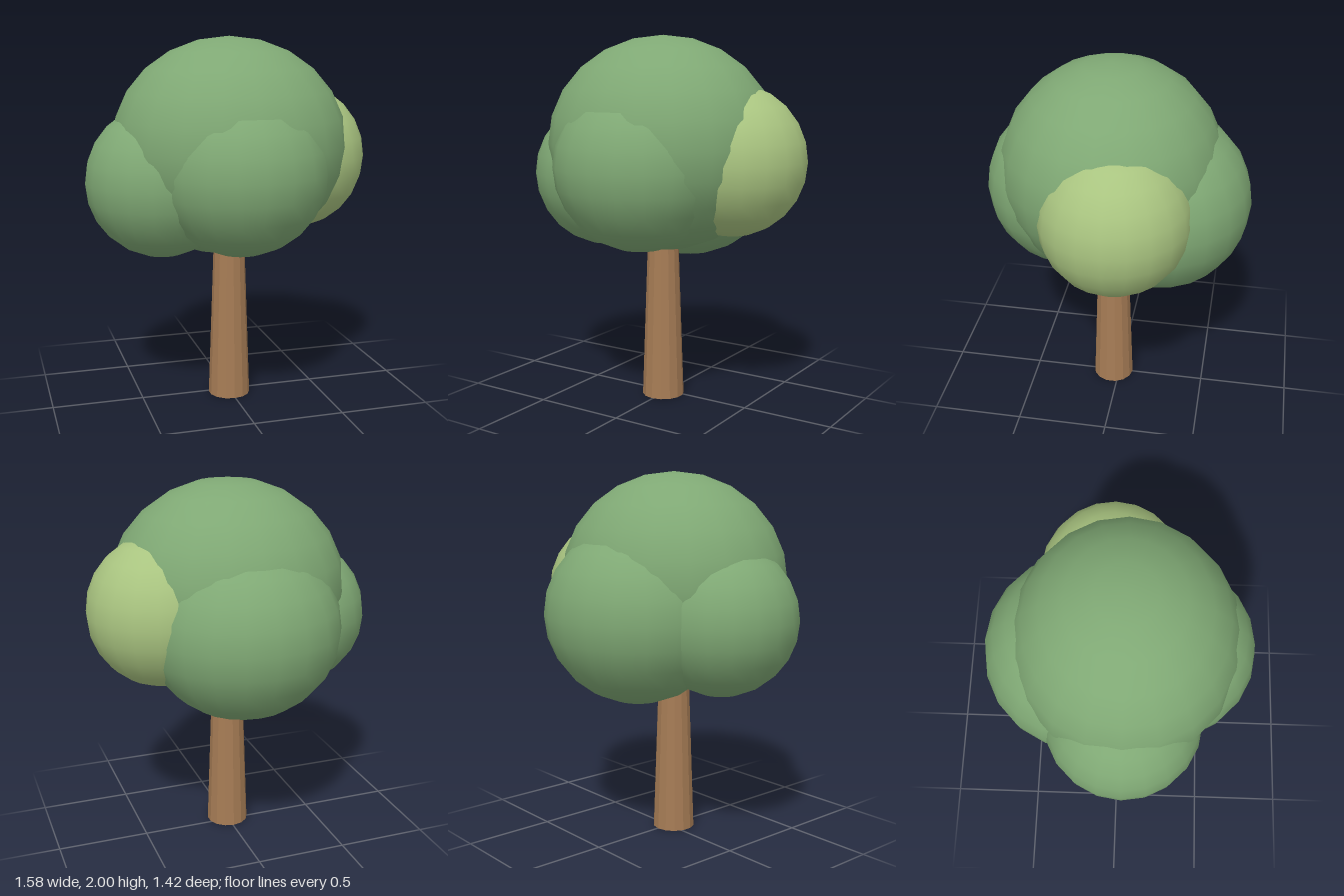
import * as THREE from 'three';

const material = (color, flatShading = false) => new THREE.MeshStandardMaterial({ color, flatShading });

export function createModel() {
  const tree = new THREE.Group();
  tree.name = 'tree';

  const bark = material(0xa67c55, true);
  const leaf = material(0x7fa874);
  const sunlitLeaf = material(0xa9c480);

  // Tapered trunk, its top hidden inside the foliage
  const trunk = new THREE.Mesh(new THREE.CylinderGeometry(0.083, 0.116, 0.95, 14), bark);
  trunk.name = 'trunk';
  trunk.position.set(-0.005, 0.475, 0.035);
  tree.add(trunk);

  // Overlapping foliage balls: name, centre, radii, material
  const clumps = [
    ['crown', [-0.005, 1.42, 0.035], [0.64, 0.58, 0.595], leaf],
    ['frontFoliage', [-0.005, 1.31, 0.26], [0.465, 0.45, 0.45], leaf],
    ['backFoliage', [-0.005, 1.25, -0.225], [0.52, 0.48, 0.485], leaf],
    ['rightFoliage', [-0.38, 1.24, 0.035], [0.41, 0.41, 0.41], leaf],
    ['leftFoliage', [0.385, 1.34, -0.04], [0.4, 0.405, 0.395], sunlitLeaf],
  ];
  const ball = new THREE.SphereGeometry(1, 20, 12);
  for (const [name, centre, radii, mat] of clumps) {
    const clump = new THREE.Mesh(ball, mat);
    clump.name = name;
    clump.position.set(...centre);
    clump.scale.set(...radii);
    tree.add(clump);
  }
  return tree;
}
